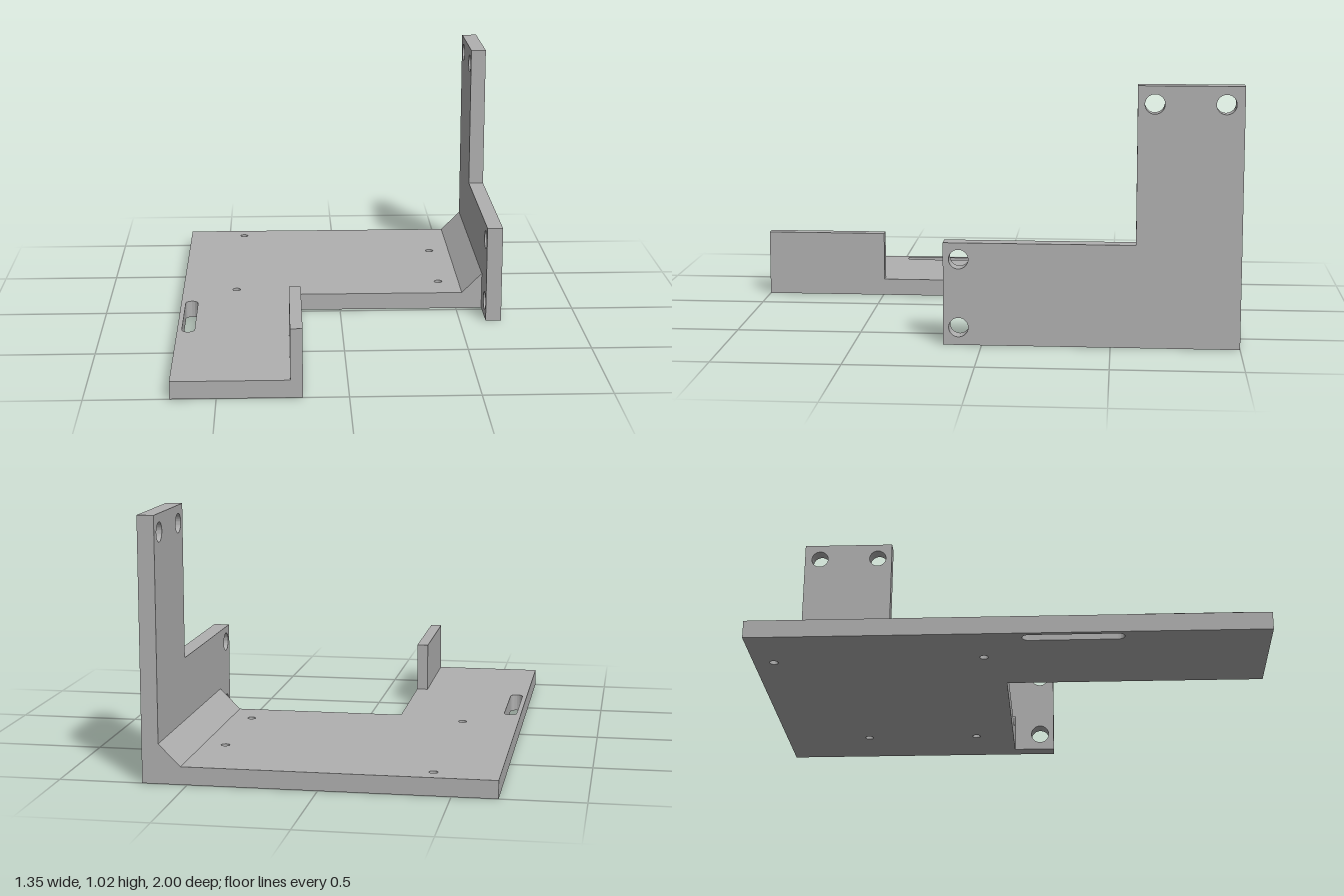
import * as THREE from 'three';
import { toCreasedNormals } from 'three/addons/utils/BufferGeometryUtils.js';

const grey = new THREE.MeshStandardMaterial({ color: 0xb0b0b0 });
grey.name = 'plain grey';

const outline = (points) => new THREE.Shape(points.map(([x, y]) => new THREE.Vector2(x, y)));

function addHole(shape, x, y, radius) {
  shape.holes.push(new THREE.Path().absarc(x, y, radius, 0, Math.PI * 2, true));
}

function extrude(shape, depth) {
  return new THREE.ExtrudeGeometry(shape, { depth, bevelEnabled: false, curveSegments: 24 });
}

function part(name, geometry) {
  const mesh = new THREE.Mesh(toCreasedNormals(geometry, 0.6), grey);
  mesh.name = name;
  return mesh;
}

export function createModel() {
  const model = new THREE.Group();
  model.name = 'mountingBracket';
  const thick = 0.07;
  const left = 0.675, wallX = 0.61, armX = -0.175, frontZ = -0.02;

  // L-shaped base plate, drawn in (x, -z) and extruded upwards
  const base = outline([[-left, -1], [armX, -1], [armX, -frontZ], [wallX, -frontZ], [wallX, 1], [-left, 1]]);
  for (const [x, z] of [[-0.425, -0.92], [-0.445, -0.097], [0.437, -0.645], [0.437, -0.18]]) {
    addHole(base, x, -z, 0.017);
  }
  // Rounded slot near the outer edge
  const slotX = -0.63, r = 0.026, slotBack = 0.083, slotFront = 0.42;
  const slot = new THREE.Path();
  slot.absarc(slotX, -slotBack, r, 0, Math.PI, false);
  slot.absarc(slotX, -slotFront, r, Math.PI, Math.PI * 2, false);
  slot.closePath();
  base.holes.push(slot);
  model.add(part('basePlate', extrude(base, thick).rotateX(-Math.PI / 2)));

  // Stepped side wall, drawn in (-z, y) and extruded along x
  const wall = outline([[-0.15, 0], [1, 0], [1, 1.02], [0.595, 1.02], [0.595, 0.405], [-0.15, 0.405]]);
  for (const [z, y] of [[0.09, 0.07], [0.09, 0.34], [-0.66, 0.95], [-0.93, 0.95]]) {
    addHole(wall, -z, y, 0.038);
  }
  model.add(part('sideWall', extrude(wall, left - wallX).rotateY(Math.PI / 2).translate(wallX, 0, 0)));

  // Sloped reinforcement in the corner between plate and wall
  const gusset = outline([[0.525, thick], [wallX, thick], [wallX, 0.155]]);
  model.add(part('cornerGusset', extrude(gusset, 1 + frontZ).translate(0, 0, -1)));

  // Upright lip on the front arm
  const lip = new THREE.BoxGeometry(0.047, 0.203, 0.505);
  model.add(part('frontLip', lip.translate(armX - 0.0235, thick + 0.1015, 0.7475)));

  return model;
}
